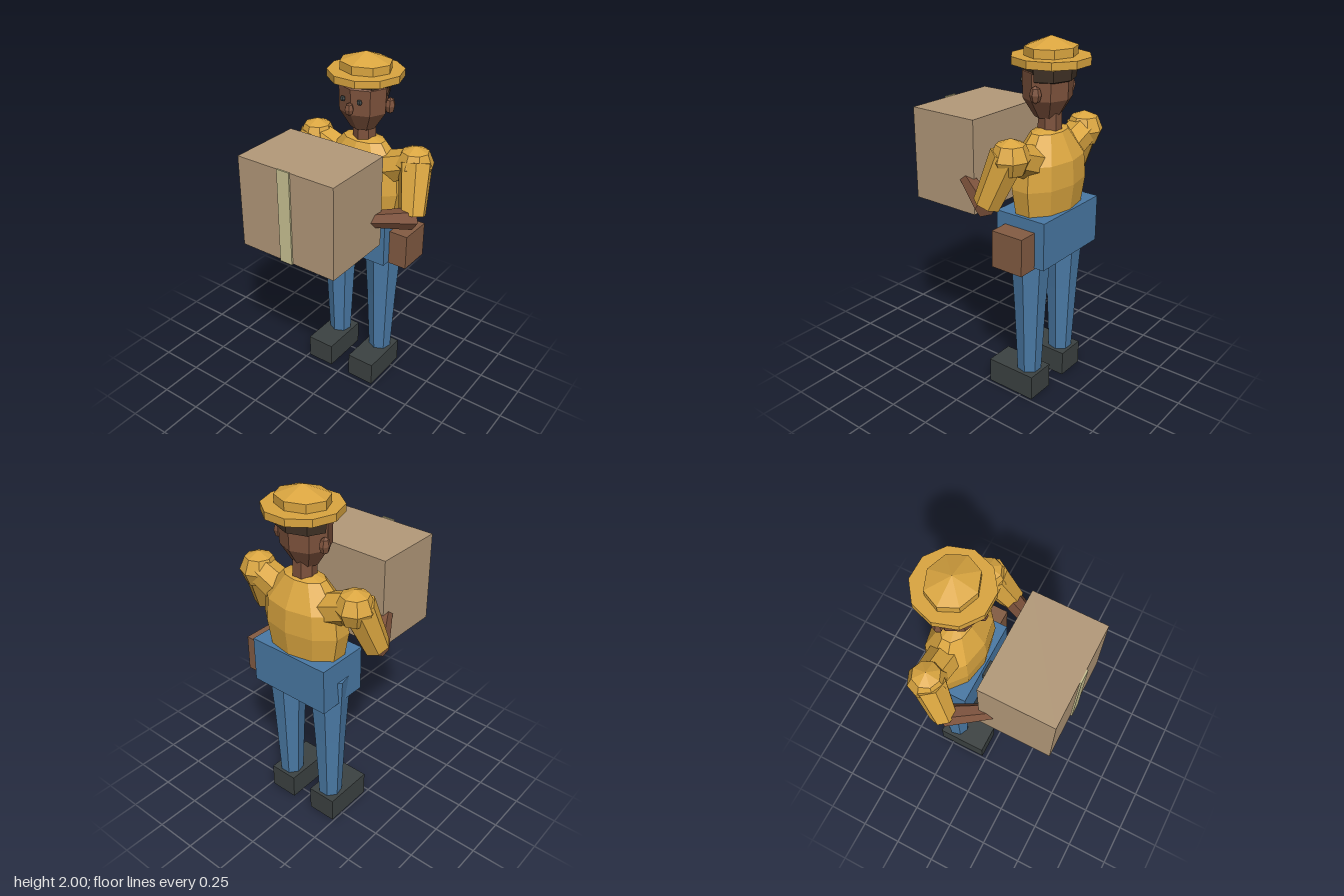
import * as THREE from 'three';

const mat = (name, color, side = THREE.FrontSide) =>
  new THREE.MeshStandardMaterial({ name, color, flatShading: true, side });

export function createModel() {
  const M = {
    yellow: mat('mustard cloth', 0xdba640),
    blue: mat('denim blue', 0x4a7aa6),
    skin: mat('brown skin', 0x7d523c),
    dark: mat('charcoal', 0x3c4242),
    hair: mat('dark hair', 0x3e3024, THREE.DoubleSide),
    card: mat('cardboard', 0xb49a7a),
    tape: mat('packing tape', 0xcbc494),
    leather: mat('pouch leather', 0x845c43),
  };
  const model = new THREE.Group();
  model.name = 'deliveryWorker';
  const Z = -0.253; // depth of the body's centre line

  const add = (name, geo, material, x = 0, y = 0, z = 0) => {
    const m = new THREE.Mesh(geo, material);
    m.name = name;
    m.position.set(x, y, z);
    model.add(m);
    return m;
  };
  // Box given by its lower and upper corners
  const box = (name, material, a, b) =>
    add(name, new THREE.BoxGeometry(b[0] - a[0], b[1] - a[1], b[2] - a[2]), material,
      (a[0] + b[0]) / 2, (a[1] + b[1]) / 2, (a[2] + b[2]) / 2);
  // Faceted turned shape, profile listed upward as [radius, y]; depth squashes z
  const lathe = (name, material, pts, sides, depth = 1, x = 0, z = Z, start = 0, sweep = Math.PI * 2) => {
    const g = new THREE.LatheGeometry(pts.map(p => new THREE.Vector2(...p)), sides, start, sweep);
    g.scale(1, 1, depth);
    return add(name, g, material, x, 0, z);
  };
  // Tapered limb between two points
  const limb = (name, material, a, b, ra, rb, sides = 6) => {
    const A = new THREE.Vector3(...a), B = new THREE.Vector3(...b), d = B.clone().sub(A);
    const m = add(name, new THREE.CylinderGeometry(rb, ra, d.length(), sides), material);
    m.position.copy(A).add(B).multiplyScalar(0.5);
    m.quaternion.setFromUnitVectors(new THREE.Vector3(0, 1, 0), d.normalize());
    return m;
  };
  const ball = (name, material, p, r, w = 8, h = 4) => {
    const m = add(name, new THREE.SphereGeometry(1, w, h), material, ...p);
    m.scale.set(...r);
    return m;
  };

  // Hat
  lathe('hatCrown', M.yellow, [[0, 1.8], [0.147, 1.85], [0.147, 1.95], [0, 2]], 8, 0.89);
  add('hatBrim', new THREE.CylinderGeometry(0.207, 0.207, 0.04, 10), M.yellow, 0, 1.885, Z)
    .rotation.y = Math.PI / 2;

  // Head, hair and neck
  lathe('head', M.skin, [[0, 1.58], [0.072, 1.59], [0.138, 1.69], [0.142, 1.83], [0.08, 1.88]], 8, 0.89, 0, -0.237);
  lathe('hairBand', M.hair, [[0.14, 1.825], [0.145, 1.87]], 8, 0.9, 0, -0.245);
  lathe('hairBack', M.hair, [[0.12, 1.78], [0.146, 1.79], [0.148, 1.87]], 4, 0.84, 0, -0.255, Math.PI / 2, Math.PI);
  limb('neck', M.skin, [0, 1.5, Z], [0, 1.62, Z], 0.066, 0.062, 7);
  ball('nose', M.skin, [0, 1.727, -0.103], [0.026, 0.036, 0.026], 6, 4);

  // Torso and hips
  lathe('torso', M.yellow,
    [[0, 1.08], [0.235, 1.09], [0.265, 1.25], [0.25, 1.38], [0.13, 1.52], [0, 1.55]], 10, 0.6);
  box('hips', M.blue, [-0.25, 0.845, -0.405], [0.246, 1.11, -0.1]);
  box('buckle', M.dark, [-0.05, 0.985, -0.11], [0.045, 1.05, -0.07]);
  box('pouch', M.leather, [0.24, 0.838, -0.347], [0.357, 1.045, -0.155]);

  for (const [s, side] of [[1, 'left'], [-1, 'right']]) {
    // Face details
    ball(side + 'Eye', M.dark, [s * 0.053, 1.77, -0.118], [0.016, 0.016, 0.014], 6, 4);
    ball(side + 'Ear', M.skin, [s * 0.148, 1.73, -0.268], [0.027, 0.046, 0.033], 6, 4);

    // Arm: yoke, shoulder, sleeve, forearm with hand
    limb(side + 'Yoke', M.yellow, [s * 0.1, 1.36, Z], [s * 0.33, 1.45, Z], 0.095, 0.085, 7);
    ball(side + 'Shoulder', M.yellow, [s * 0.325, 1.447, Z], [0.106, 0.104, 0.106], 8, 4);
    limb(side + 'Sleeve', M.yellow, [s * 0.333, 1.46, -0.245], [s * 0.385, 1.2, -0.15], 0.095, 0.074, 7);
    limb(side + 'Forearm', M.skin, [s * 0.385, 1.182, -0.145], [s * 0.255, 1.245, 0.095], 0.062, 0.042, 6);

    // Leg and shoe
    const x = s * 0.152 - 0.003;
    lathe(side + 'Leg', M.blue, [[0, 0.985], [0.115, 0.98], [0.088, 0.56], [0.068, 0.14]].reverse(), 7, 1, x, -0.25);
    box(side + 'Shoe', M.dark, [x - 0.085, 0, -0.33], [x + 0.085, 0.145, -0.03]);
  }

  // Carried parcel with a tape strip
  box('parcel', M.card, [-0.3, 1.065, 0.016], [0.293, 1.585, 0.437]);
  box('parcelTape', M.tape, [-0.042, 1.062, 0.437], [0.034, 1.59, 0.446]);

  return model;
}
